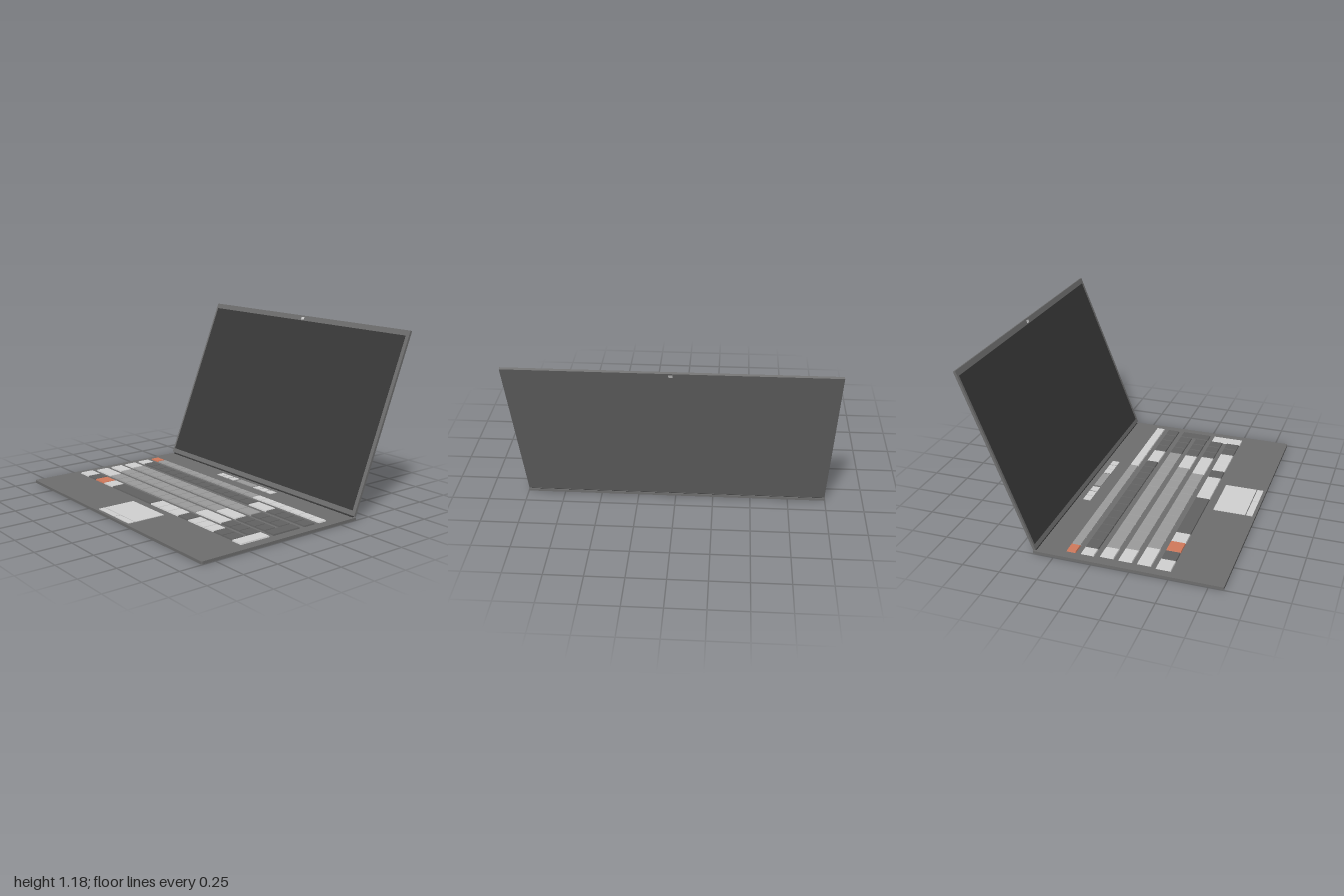
import * as THREE from 'three';

const mat = (name, color) => {
  const m = new THREE.MeshStandardMaterial({ color });
  m.name = name;
  return m;
};

export function createModel() {
  const body = mat('body grey', 0x6e6e6e);
  const glass = mat('screen black', 0x383838);
  const light = mat('light key', 0xd2d2d2);
  const mid = mat('mid grey key', 0x9c9c9c);
  const dark = mat('dark grey key', 0x626262);
  const accent = mat('orange key', 0xd27a5c);

  const laptop = new THREE.Group();
  laptop.name = 'laptop';

  // Axis-aligned box given by its limits
  const block = (parent, name, material, x0, x1, y0, y1, z0, z1) => {
    const mesh = new THREE.Mesh(new THREE.BoxGeometry(x1 - x0, y1 - y0, z1 - z0), material);
    mesh.position.set((x0 + x1) / 2, (y0 + y1) / 2, (z0 + z1) / 2);
    mesh.name = name;
    parent.add(mesh);
    return mesh;
  };

  // Base slab with slightly rounded corners
  const W = 0.997, top = 0.018;
  const outline = new THREE.Shape();
  const r = 0.012, zb = 0.39, zf = -0.845;
  outline.moveTo(-W, zb);
  outline.lineTo(-W, zf + r);
  outline.quadraticCurveTo(-W, zf, -W + r, zf);
  outline.lineTo(W - r, zf);
  outline.quadraticCurveTo(W, zf, W, zf + r);
  outline.lineTo(W, zb);
  const base = new THREE.Mesh(
    new THREE.ExtrudeGeometry(outline, { depth: top, bevelEnabled: false, curveSegments: 4 }), body);
  base.rotation.x = -Math.PI / 2;
  base.name = 'base';
  laptop.add(base);

  // Keycap: a box whose top face is drawn in a little
  const keys = new THREE.Group();
  keys.name = 'keyboard';
  laptop.add(keys);
  const key = (material, x0, x1, z0, z1, name = 'key') => {
    const g = 0.002, h = 0.009;
    const mesh = block(keys, name, material, x0 + g, x1 - g, top, top + h, z0, z1);
    const w = x1 - x0 - 2 * g, d = z1 - z0, p = mesh.geometry.attributes.position;
    for (let i = 0; i < p.count; i++) {
      if (p.getY(i) < 0) continue;
      p.setX(i, p.getX(i) * (1 - 0.005 / w));
      p.setZ(i, p.getZ(i) * (1 - 0.005 / d));
    }
    mesh.geometry.computeVertexNormals();
  };

  // Each row: front-to-back limits, then runs of [material, start, end, number of keys]
  const rows = [
    [-0.187, -0.125, [[accent, -0.936, -0.848, 1], [mid, -0.842, 0.283, 12], [light, 0.283, 0.936, 7]]],
    [-0.09, -0.003, [[light, -0.936, -0.854, 1], [dark, -0.85, 0.385, 13], [light, 0.387, 0.562, 1],
      [dark, 0.564, 0.932, 4]]],
    [0.034, 0.124, [[light, -0.927, -0.812, 1], [mid, -0.808, 0.433, 12], [mid, 0.433, 0.562, 1],
      [dark, 0.564, 0.843, 3]]],
    [0.156, 0.246, [[light, -0.93, -0.79, 1], [mid, -0.786, 0.358, 11], [light, 0.36, 0.556, 1],
      [dark, 0.564, 0.843, 3]]],
    [0.278, 0.37, [[light, -0.93, -0.733, 1], [mid, -0.729, 0.3, 10], [light, 0.302, 0.566, 1],
      [dark, 0.568, 0.843, 3]]],
    [0.402, 0.5, [[light, -0.942, -0.829, 1], [dark, -0.829, -0.73, 1], [accent, -0.73, -0.615, 1],
      [light, -0.615, -0.503, 1], [dark, -0.503, -0.026, 1], [light, -0.024, 0.285, 3],
      [dark, 0.287, 0.39, 1], [light, 0.394, 0.658, 3], [dark, 0.658, 0.843, 2]]],
  ];
  for (const [z0, z1, runs] of rows) {
    for (const [material, x0, x1, n] of runs) {
      const step = (x1 - x0) / n;
      for (let i = 0; i < n; i++) key(material, x0 + i * step, x0 + (i + 1) * step, z0, z1);
    }
  }
  // Two tall number pad keys
  key(dark, 0.845, 0.932, 0.034, 0.25, 'tallKey');
  key(light, 0.843, 0.932, 0.282, 0.505, 'tallKey');

  // Shortcut buttons and the bar between them
  for (const x of [-0.267, -0.203, -0.134, 0.139, 0.203, 0.27]) {
    block(laptop, 'shortcutButton', light, x - 0.028, x + 0.028, top, top + 0.005, -0.33, -0.277);
  }
  block(laptop, 'centreBar', mid, -0.083, 0.098, top, top + 0.005, -0.33, -0.277);

  // Touchpad and its two buttons
  block(laptop, 'touchpad', light, -0.147, 0.212, top, top + 0.004, 0.556, 0.776);
  block(laptop, 'touchpadButton', light, -0.147, 0.042, top, top + 0.004, 0.782, 0.825);
  block(laptop, 'touchpadButton', light, 0.048, 0.212, top, top + 0.004, 0.782, 0.825);

  // Lid, tilted back about the hinge line
  const lid = new THREE.Group();
  lid.name = 'lid';
  lid.position.set(0, 0.021, -0.377);
  lid.rotation.x = -0.38;
  laptop.add(lid);
  const L = 1.245, T = 0.008;
  block(lid, 'lidShell', body, -W, W, 0.006, L, -T, T);
  block(lid, 'screen', glass, -0.98, 0.97, 0.038, L - 0.037, T - 0.002, T + 0.0015);
  block(lid, 'camera', light, -0.013, 0.013, L - 0.031, L - 0.011, -T - 0.001, T + 0.002);

  // Hinge bar between base and lid
  const hinge = new THREE.Mesh(new THREE.CylinderGeometry(0.007, 0.007, 1.96, 10), glass);
  hinge.rotation.z = Math.PI / 2;
  hinge.position.set(0, 0.02, -0.379);
  hinge.name = 'hinge';
  laptop.add(hinge);

  return laptop;
}
